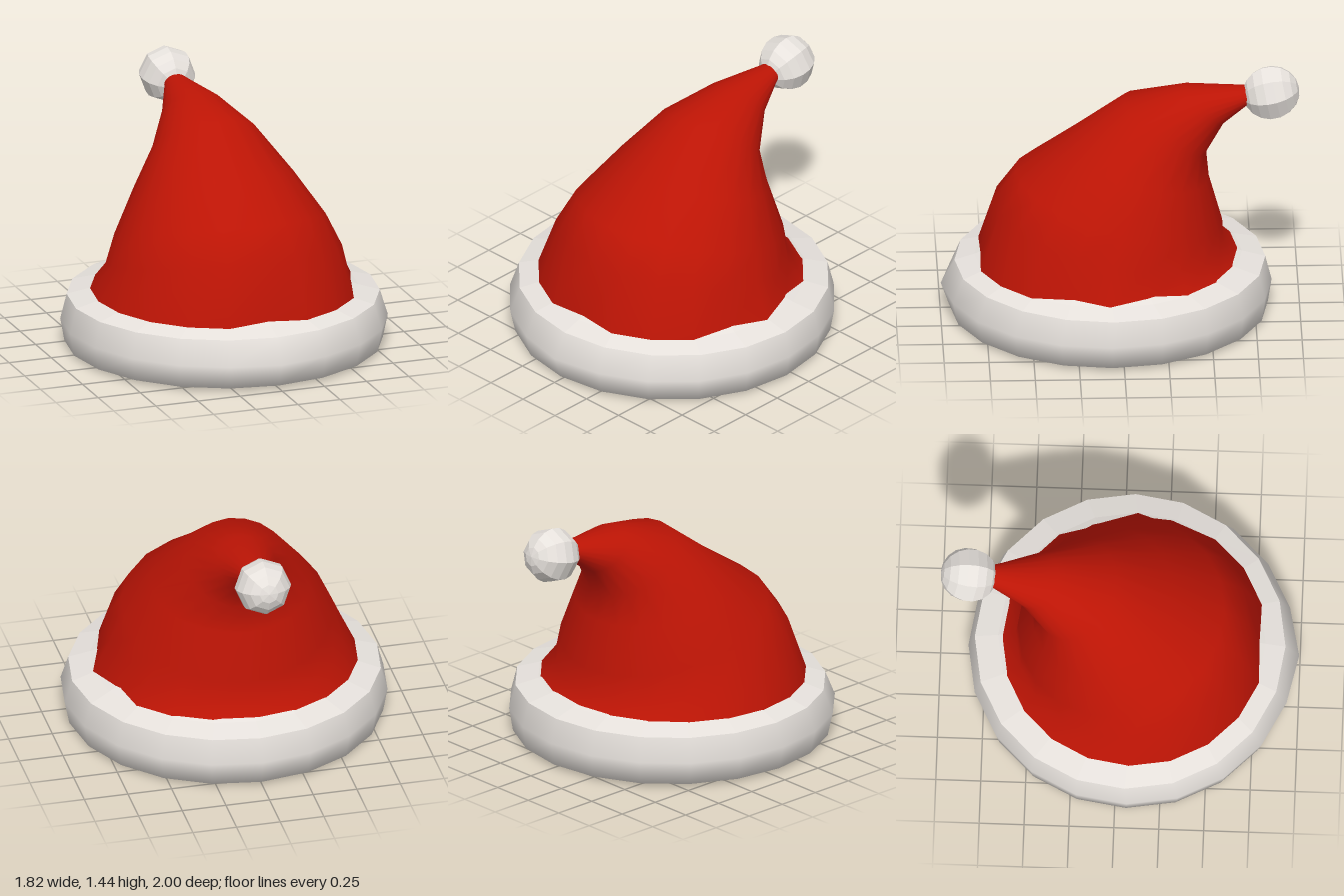
import * as THREE from 'three';

const SIDES = 20;

// Skin a list of rings: [front z, front y, back z, back y, half width, {corner: radial scale}]
function loft(rings) {
  const pos = [], index = [];
  for (const [fz, fy, bz, by, w, scales = {}] of rings) {
    for (let j = 0; j < SIDES; j++) {
      const a = (j / SIDES) * Math.PI * 2, r = scales[j] ?? 1;
      const c = r * Math.cos(a); // 1 at the front, -1 at the back
      pos.push(
        w * r * Math.sin(a),
        (fy + by) / 2 + (c * (fy - by)) / 2,
        (fz + bz) / 2 + (c * (fz - bz)) / 2,
      );
    }
  }
  for (let i = 0; i < rings.length - 1; i++) {
    for (let j = 0; j < SIDES; j++) {
      const a = i * SIDES + j, b = i * SIDES + ((j + 1) % SIDES);
      index.push(a, b, b + SIDES, a, b + SIDES, a + SIDES);
    }
  }
  const g = new THREE.BufferGeometry();
  g.setAttribute('position', new THREE.Float32BufferAttribute(pos, 3));
  g.setIndex(index);
  g.computeVertexNormals();
  return g;
}

export function createModel() {
  const group = new THREE.Group();
  const add = (name, geometry, material) => {
    const mesh = new THREE.Mesh(geometry, material);
    mesh.name = name;
    group.add(mesh);
    return mesh;
  };
  const fur = new THREE.MeshStandardMaterial({ color: 0xe6e1dc });
  const furFlat = new THREE.MeshStandardMaterial({ color: 0xe6e1dc, flatShading: true });
  const cloth = new THREE.MeshStandardMaterial({ color: 0xbc1405, side: THREE.DoubleSide });

  // Rounded outside of the brim, with a slight point at the front
  const lip = [0.805, 0.015, -0.665, 0.015, 0.735];
  const rim = [0.92, 0.29, -0.81, 0.29, 0.873];
  add('brimOutside', loft([
    lip,
    [0.84, 0.0, -0.7, 0.0, 0.77],
    [0.95, 0.018, -0.825, 0.018, 0.887],
    [0.98, 0.15, -0.845, 0.15, 0.912, { 0: 1.018 }],
    rim,
  ]), fur);

  // Faceted ledge rising inward under the cap
  add('brimTop', loft([
    rim,
    [0.81, 0.325, -0.68, 0.325, 0.75],
    [0.72, 0.36, -0.59, 0.36, 0.66],
  ]), furFlat);

  // Faceted inner wall, closed by a flat lining
  add('brimInside', loft([
    [0.07, 0.148, 0.07, 0.148, 0],
    [0.735, 0.148, -0.595, 0.148, 0.665],
    [0.8, 0.11, -0.66, 0.11, 0.73],
    lip,
  ]), furFlat);

  // Cone of cloth, leaning back and folding over into the tip; its hem is flattened in places
  const hem = { 0: 0.95, 4: 0.95, 6: 0.95 };
  add('cap', loft([
    [0.83, 0.26, -0.7, 0.26, 0.775, hem],
    [0.815, 0.33, -0.67, 0.325, 0.748, hem],
    [0.71, 0.65, -0.58, 0.38, 0.66],
    [0.58, 0.83, -0.57, 0.52, 0.59],
    [0.3, 1.02, -0.495, 0.79, 0.45],
    [-0.02, 1.26, -0.48, 0.95, 0.295],
    [-0.35, 1.33, -0.58, 1.12, 0.165],
    [-0.68, 1.33, -0.71, 1.22, 0.07],
    [-0.8, 1.33, -0.8, 1.24, 0.05],
  ]), cloth);

  // Faceted bobble at the tip, its axis along the tip
  const bobble = add('bobble', new THREE.SphereGeometry(0.158, 8, 9), furFlat);
  bobble.position.set(0, 1.287, -0.843);
  bobble.rotation.x = -Math.PI / 2 + 0.2;

  return group;
}
